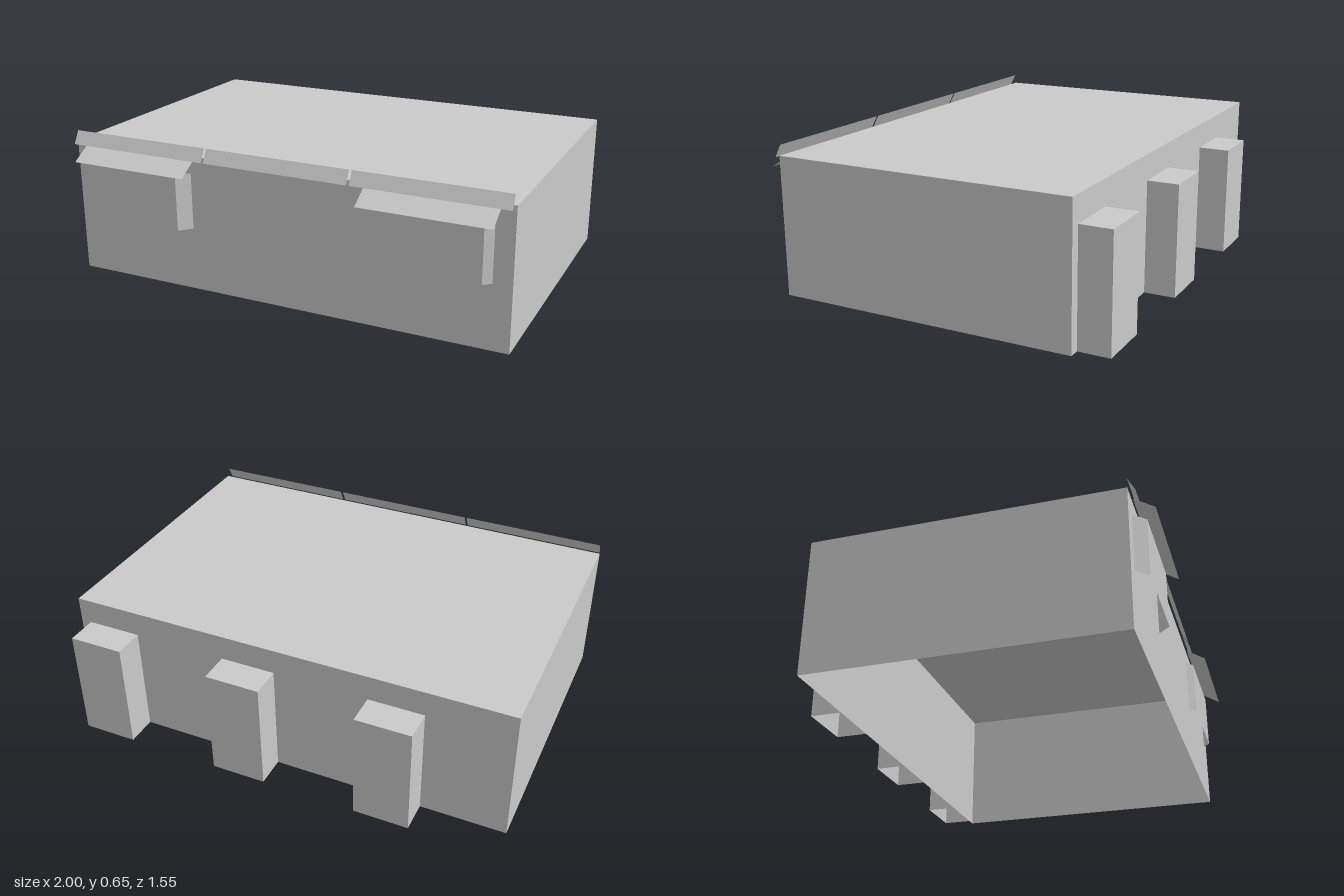
import * as THREE from 'three';

const plaster = new THREE.MeshStandardMaterial({ color: 0xcacaca, side: THREE.DoubleSide });
plaster.name = 'light grey plaster';

// Sheet swept between two polylines of matching length, with flat facets
function strip(name, lower, upper) {
  const pos = [];
  for (let i = 0; i < lower.length - 1; i++) {
    const [a, b, c, d] = [lower[i], lower[i + 1], upper[i + 1], upper[i]];
    pos.push(...a, ...b, ...c, ...a, ...c, ...d);
  }
  const geo = new THREE.BufferGeometry();
  geo.setAttribute('position', new THREE.Float32BufferAttribute(pos, 3));
  geo.computeVertexNormals();
  const mesh = new THREE.Mesh(geo, plaster);
  mesh.name = name;
  return mesh;
}

// Box shell standing on the ground, open underneath
function openBox(name, x0, x1, h, z0, z1) {
  const geo = new THREE.BoxGeometry(x1 - x0, h, z1 - z0);
  const index = Array.from(geo.index.array);
  index.splice(18, 6); // drop the bottom face
  geo.setIndex(index);
  geo.clearGroups();
  geo.translate((x0 + x1) / 2, h / 2, (z0 + z1) / 2);
  const mesh = new THREE.Mesh(geo, plaster);
  mesh.name = name;
  return mesh;
}

// Sloping sheet that leans away from the front wall
function slope(name, x0, x1, yTop, zTop, yLow, zLow) {
  return strip(name,
    [[x0, yLow, zLow], [x1, yLow, zLow]],
    [[x0, yTop, zTop], [x1, yTop, zTop]]);
}

// Shallow bay window with splayed sides
function bay(x0, x1, inset, z) {
  const plan = [[x0, 0.68], [x0 + inset, z], [x1 - inset, z], [x1, 0.68]];
  const at = (y) => plan.map(([px, pz]) => [px, y, pz]);
  return strip('bayWindow', at(0.28), at(0.53));
}

export function createModel() {
  const model = new THREE.Group();
  model.name = 'building';

  model.add(openBox('mainBuilding', -1, 1, 0.604, -0.64, 0.68));

  // Rear buttresses
  for (const x of [-0.625, 0.042, 0.708]) {
    model.add(openBox('rearButtress', x, x + 0.245, 0.492, -0.778, -0.64));
  }

  // Three roof trim sheets along the front edge
  for (const x of [-0.995, -0.33, 0.336]) {
    model.add(slope('roofTrim', x, x + 0.655, 0.648, 0.68, 0.592, 0.71));
  }

  // Bay windows and their awnings
  model.add(bay(-0.925, -0.413, 0.046, 0.73));
  model.add(bay(0.41, 0.92, 0.032, 0.71));
  for (const x of [-0.945, 0.39]) {
    model.add(slope('awning', x, x + 0.552, 0.588, 0.69, 0.534, 0.775));
  }
  return model;
}
